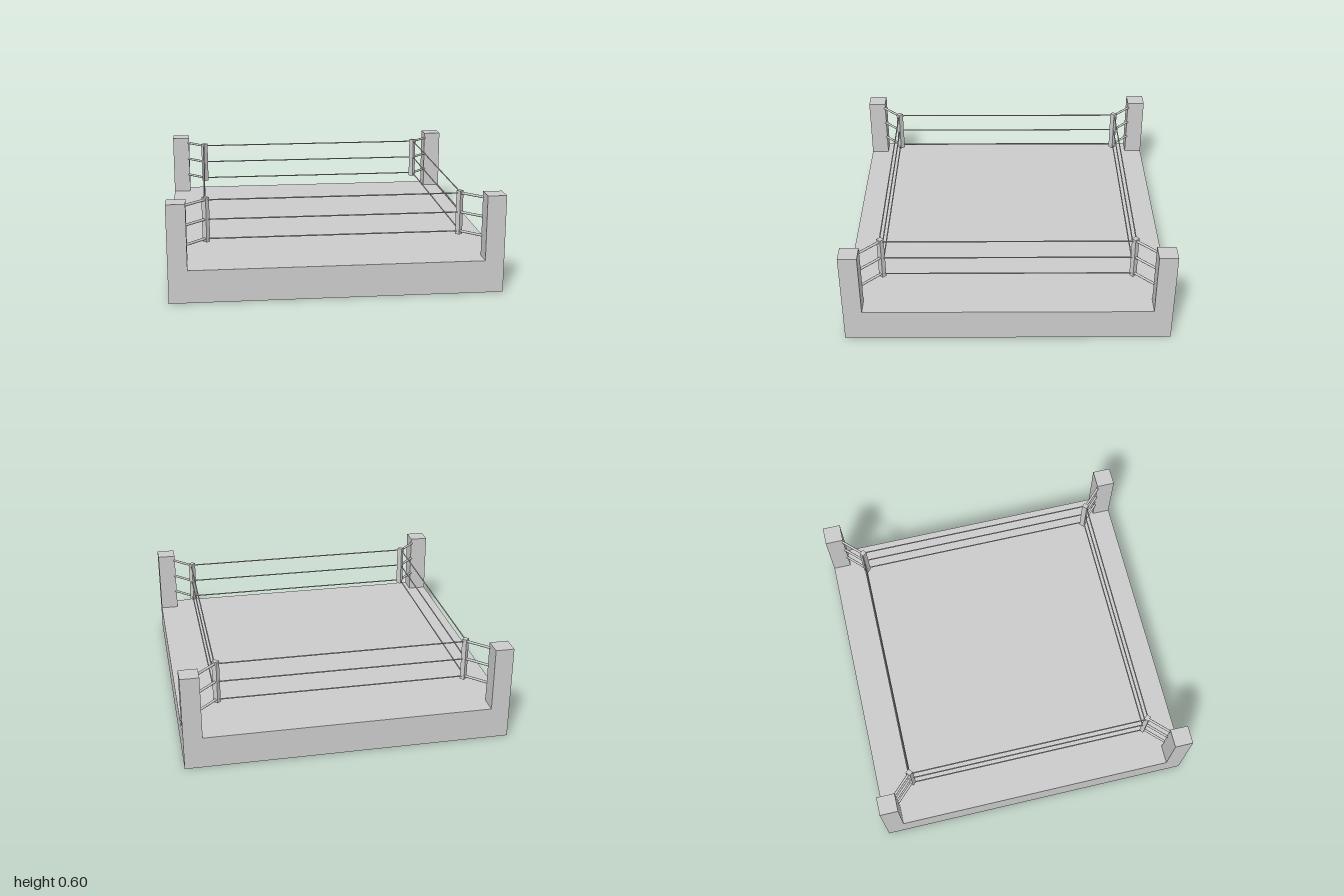
import * as THREE from 'three';

const material = new THREE.MeshStandardMaterial({ color: 0xcccccc });
const UP = new THREE.Vector3(0, 1, 0);

function box(name, w, h, d, x, y, z, parent) {
  const mesh = new THREE.Mesh(new THREE.BoxGeometry(w, h, d), material);
  mesh.name = name;
  mesh.position.set(x, y, z);
  parent.add(mesh);
  return mesh;
}

// Round bar between two points
function bar(name, a, b, radius, parent) {
  const dir = b.clone().sub(a);
  const mesh = new THREE.Mesh(new THREE.CylinderGeometry(radius, radius, dir.length(), 10), material);
  mesh.name = name;
  mesh.position.copy(a).add(b).multiplyScalar(0.5);
  mesh.quaternion.setFromUnitVectors(UP, dir.normalize());
  parent.add(mesh);
}

export function createModel() {
  const ring = new THREE.Group();
  ring.name = 'boxingRing';

  const deck = 0.2, postSize = 0.115, postHeight = 0.4;
  const postAt = 1 - postSize / 2, padAt = 0.771, ropeAt = 0.777;
  const levels = [0.325, 0.445, 0.565];

  box('platform', 2, deck, 2, 0, deck / 2, 0, ring);

  // Corners: post, turned pad and the three arms joining them
  for (const sx of [-1, 1]) {
    for (const sz of [-1, 1]) {
      const corner = new THREE.Group();
      corner.name = `${sz > 0 ? 'front' : 'back'}${sx > 0 ? 'Left' : 'Right'}Corner`;
      box('cornerPost', postSize, postHeight, postSize, sx * postAt, deck + postHeight / 2, sz * postAt, corner);
      const pad = box('cornerPad', 0.034, 0.275, 0.029, sx * padAt, 0.4425, sz * padAt, corner);
      pad.rotation.y = sx * sz * Math.PI / 4;
      for (const y of levels) {
        bar('padArm', new THREE.Vector3(sx * 0.9, y, sz * 0.9),
          new THREE.Vector3(sx * padAt, y, sz * padAt), 0.008, corner);
      }
      ring.add(corner);
    }
  }

  // Three ropes along each side
  for (const y of levels) {
    for (const s of [-1, 1]) {
      bar(s > 0 ? 'frontRope' : 'backRope', new THREE.Vector3(-padAt, y, s * ropeAt),
        new THREE.Vector3(padAt, y, s * ropeAt), 0.004, ring);
      bar(s > 0 ? 'leftRope' : 'rightRope', new THREE.Vector3(s * ropeAt, y, -padAt),
        new THREE.Vector3(s * ropeAt, y, padAt), 0.004, ring);
    }
  }
  return ring;
}
